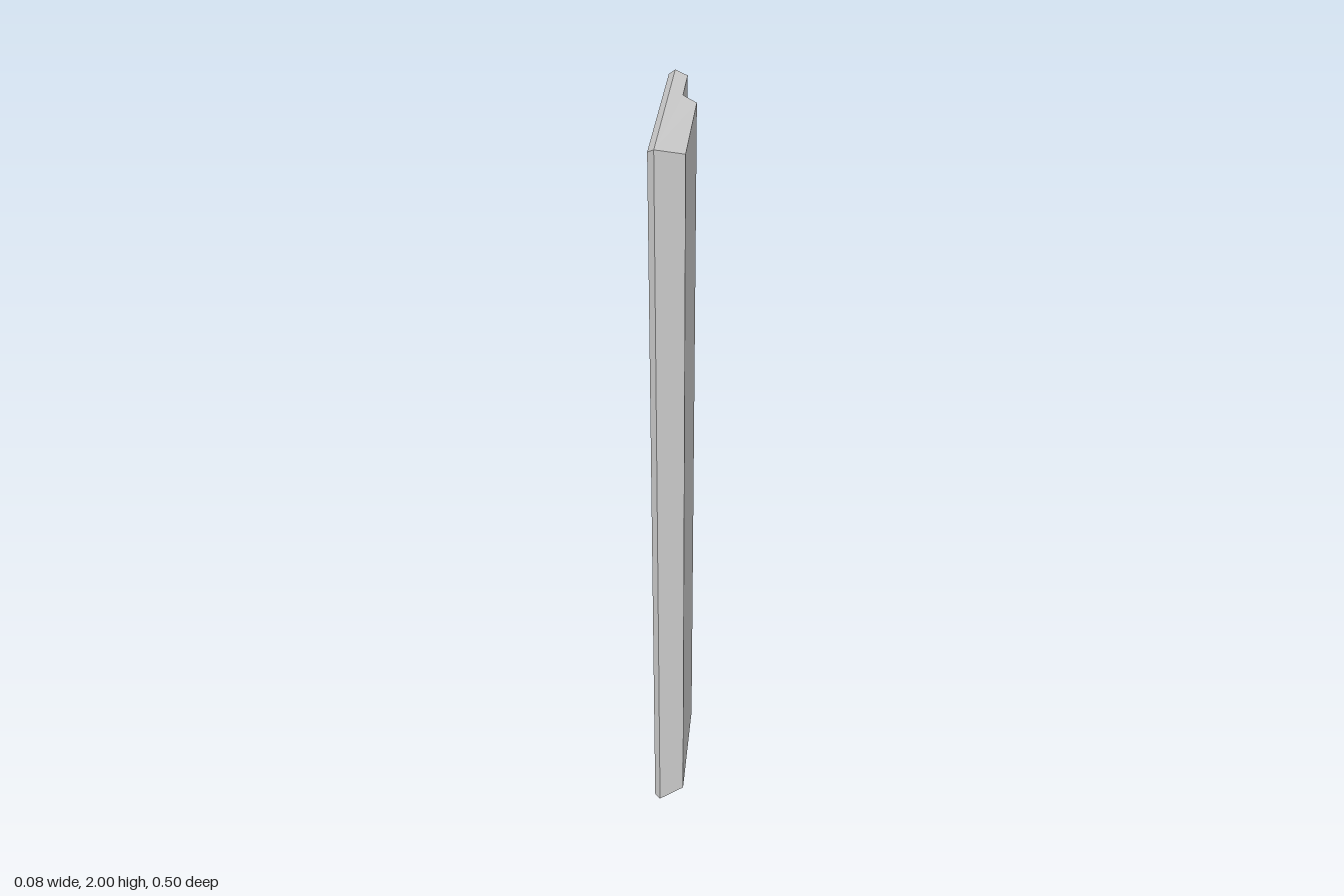
import * as THREE from 'three';

const material = new THREE.MeshStandardMaterial({ color: 0xcccccc, flatShading: true, side: THREE.DoubleSide });

// Triangulates flat polygons (corners counter-clockwise from outside) into one mesh.
function sheet(name, polygons) {
  const positions = [];
  for (const poly of polygons) {
    const pts = poly.map((p) => new THREE.Vector3(...p));
    const normal = new THREE.Vector3();
    pts.forEach((p, i) => normal.add(new THREE.Vector3().crossVectors(p, pts[(i + 1) % pts.length])));
    normal.normalize();
    const u = pts[1].clone().sub(pts[0]).normalize();
    const v = new THREE.Vector3().crossVectors(normal, u);
    const flat = pts.map((p) => new THREE.Vector2(p.dot(u), p.dot(v)));
    for (const tri of THREE.ShapeUtils.triangulateShape(flat, [])) {
      for (const i of tri) positions.push(...pts[i].toArray());
    }
  }
  const geometry = new THREE.BufferGeometry();
  geometry.setAttribute('position', new THREE.Float32BufferAttribute(positions, 3));
  geometry.computeVertexNormals();
  const mesh = new THREE.Mesh(geometry, material);
  mesh.name = name;
  return mesh;
}

export function createModel() {
  const group = new THREE.Group();
  group.name = 'doorPanel';

  // Horizontal section [x, z, inset of the ends], from the front rim round to the back rim
  const section = [
    [-0.04, 0.243, 0.009], [-0.025, 0.252, 0], [0.04, 0.221, 0.02], [0.04, -0.088, 0.02],
    [0.006, -0.108, 0.01], [0.006, -0.242, 0.01], [-0.025, -0.253, 0], [-0.04, -0.245, 0.009],
  ];
  const bottom = section.map(([x, z, e]) => [x, e, z]);
  const top = section.map(([x, z, e]) => [x, 2 - e, z]);

  // Handle outlines: where it meets the step and wall, and its raised face
  const base = [[0.006, 0.86, -0.108], [0.006, 0.89, -0.162], [0.006, 1.12, -0.162], [0.006, 1.15, -0.108]];
  const raised = [[0.016, 0.87, -0.102], [0.016, 0.9, -0.156], [0.016, 1.11, -0.156], [0.016, 1.14, -0.102]];

  const panel = (i) => [bottom[i], bottom[i + 1], top[i + 1], top[i]];
  const ends = (indices) => [indices.map((i) => top[i]), indices.map((i) => bottom[i]).reverse()];

  // Bevelled rim round the open back
  group.add(sheet('rim', [panel(0), panel(6), ...ends([0, 1, 6, 7])]));

  // Tapered sides and sloping ends
  group.add(sheet('sides', [panel(1), panel(5), ...ends([1, 2, 3, 4, 5, 6])]));

  // Main raised panel
  group.add(sheet('mainPanel', [panel(2)]));

  // Wall between the two levels, notched for the handle
  group.add(sheet('stepWall', [
    [bottom[3], bottom[4], base[0], raised[0], raised[3], base[3], top[4], top[3]],
  ]));

  // Lower panel, cut out behind the handle
  group.add(sheet('lowerPanel', [[bottom[4], bottom[5], top[5], top[4], ...[...base].reverse()]]));

  // Handle, hollow behind
  const bevels = [0, 1, 2].map((i) => [base[i], base[i + 1], raised[i + 1], raised[i]]);
  group.add(sheet('handle', [raised, ...bevels]));

  return group;
}
